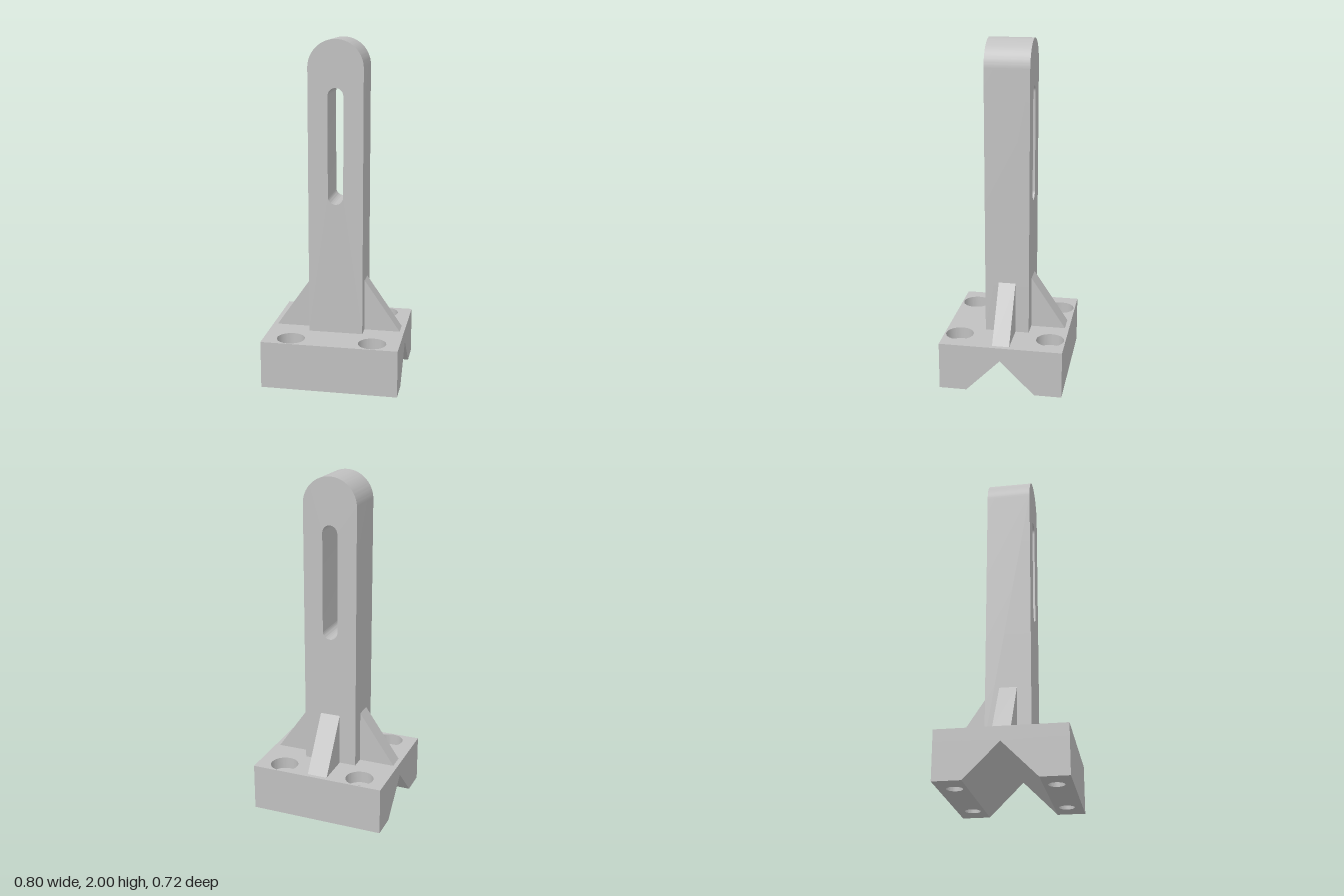
import * as THREE from 'three';
import { toCreasedNormals } from 'three/addons/utils/BufferGeometryUtils.js';

const BASE_X = 0.4, BASE_Z = 0.36, BASE_TOP = 0.28;
const BORE_FLOOR = 0.21, GROOVE = 0.2;
const POST_X = 0.16, POST_Z = 0.13, POST_TOP = 2;

const polygon = (points) => new THREE.Shape(points.map(([x, y]) => new THREE.Vector2(x, y)));

const rectangle = (x0, y0, x1, y1) => polygon([[x0, y0], [x1, y0], [x1, y1], [x0, y1]]);

function circleHole(x, y, r) {
  const hole = new THREE.Path();
  hole.absarc(x, y, r, 0, Math.PI * 2, true);
  return hole;
}

// Extrudes along z, centred on z = 0, with smooth arcs and sharp edges
function extrude(shape, depth) {
  const geometry = new THREE.ExtrudeGeometry(shape, { depth, bevelEnabled: false, curveSegments: 32 });
  geometry.translate(0, 0, -depth / 2);
  return toCreasedNormals(geometry, 0.5);
}

// Plate drawn in plan and raised from y0 to y1
function plate(shape, y0, y1) {
  return extrude(shape, y1 - y0).rotateX(-Math.PI / 2).translate(0, (y0 + y1) / 2, 0);
}

export function createModel() {
  const model = new THREE.Group();
  model.name = 'slottedPostBracket';
  const grey = new THREE.MeshStandardMaterial({ color: 0xc0c0c0 });
  grey.name = 'plain grey';

  const add = (name, geometry, parent = model) => {
    const mesh = new THREE.Mesh(geometry, grey);
    mesh.name = name;
    parent.add(mesh);
    return mesh;
  };

  // Base: upper plate with counterbores, two drilled feet and a grooved middle
  const base = new THREE.Group();
  base.name = 'base';
  model.add(base);

  const top = rectangle(-BASE_X, -BASE_Z, BASE_X, BASE_Z);
  for (const x of [-0.24, 0.24])
    for (const z of [-0.27, 0.27]) top.holes.push(circleHole(x, z, 0.082));
  add('counterboredPlate', plate(top, BORE_FLOOR, BASE_TOP), base);

  for (const side of [-1, 1]) {
    const inner = side * GROOVE, outer = side * BASE_Z;
    const foot = rectangle(-BASE_X, Math.min(inner, outer), BASE_X, Math.max(inner, outer));
    for (const x of [-0.24, 0.24]) foot.holes.push(circleHole(x, side * 0.27, 0.045));
    add(side < 0 ? 'frontFoot' : 'backFoot', plate(foot, 0, BORE_FLOOR), base);
  }

  const groove = polygon([
    [-GROOVE, 0], [0, GROOVE], [GROOVE, 0], [GROOVE, BORE_FLOOR], [-GROOVE, BORE_FLOOR],
  ]);
  add('vGroove', extrude(groove, BASE_X * 2).rotateY(Math.PI / 2), base);

  // Upright post with rounded top and a long slot
  const post = new THREE.Shape();
  post.moveTo(-POST_X, BASE_TOP);
  post.lineTo(POST_X, BASE_TOP);
  post.absarc(0, POST_TOP - POST_X, POST_X, 0, Math.PI, false);
  post.closePath();
  const slot = new THREE.Path();
  slot.absarc(0, 1.685, 0.045, 0, Math.PI, false);
  slot.absarc(0, 1.105, 0.045, Math.PI, Math.PI * 2, false);
  slot.closePath();
  post.holes.push(slot);
  add('slottedPost', extrude(post, POST_Z * 2));

  // Triangular ribs: left, right and back
  const rib = (name, start, end, width, angle) => {
    const shape = polygon([[start, BASE_TOP], [end, BASE_TOP], [start, 0.588]]);
    add(name, extrude(shape, width).rotateY(angle));
  };
  rib('leftRib', POST_X, 0.373, 0.1, 0);
  rib('rightRib', POST_X, 0.373, 0.1, Math.PI);
  rib('backRib', POST_Z, 0.335, 0.12, Math.PI / 2);

  return model;
}
